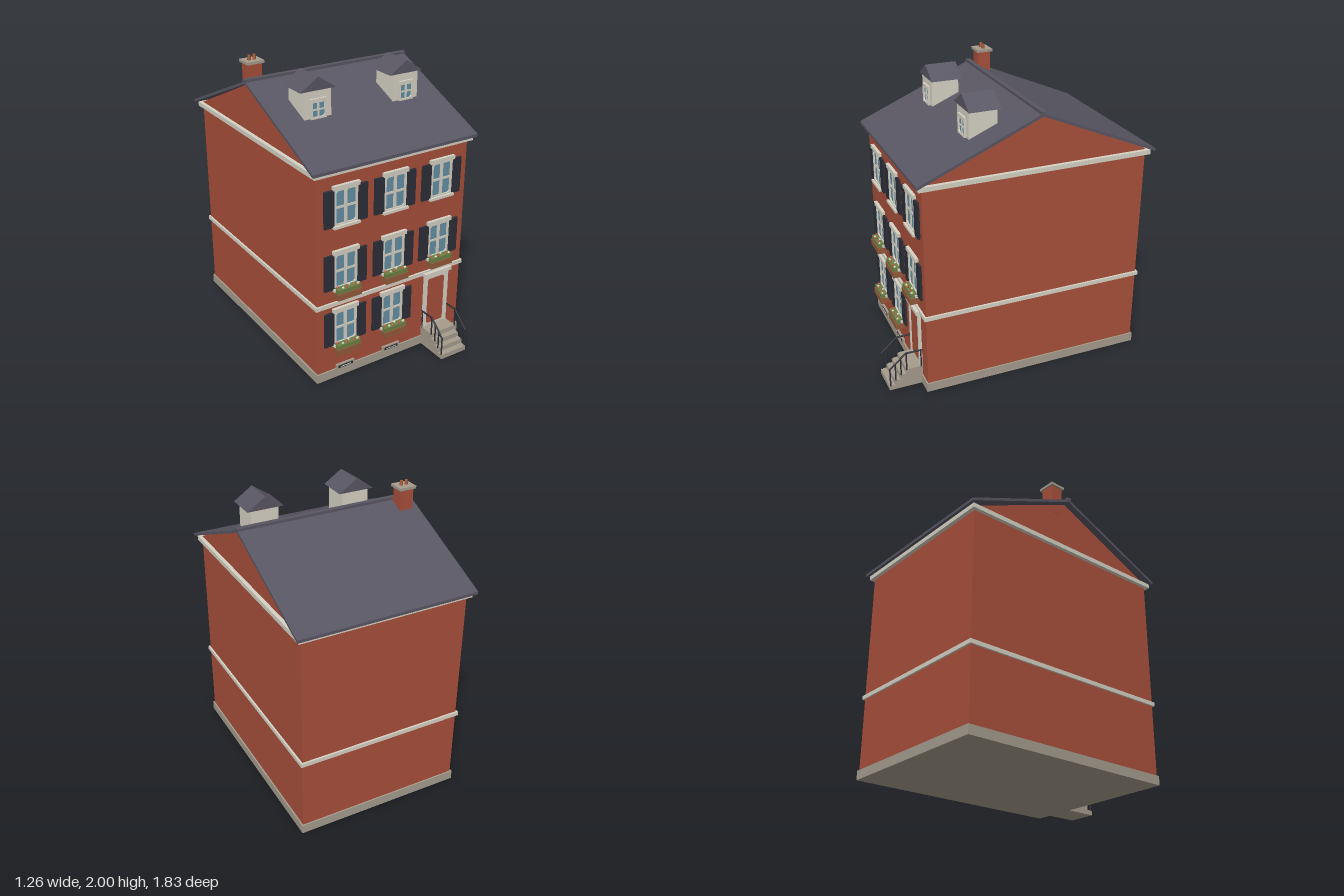
import * as THREE from 'three';

const mat = (name, color) => {
  const m = new THREE.MeshStandardMaterial({ color });
  m.name = name;
  return m;
};

export function createModel() {
  const brick = mat('brick', 0xa84f3a);
  const trim = mat('trim', 0xd6d2c4);
  const stone = mat('stone', 0xa59c8d);
  const slate = mat('slate', 0x595663);
  const shutterPaint = mat('shutter paint', 0x2d2e38);
  const glass = mat('glass', 0x6590a5);
  const leaves = mat('leaves', 0x6c8044);
  const wood = mat('wood', 0x935a3a);
  const petals = mat('petals', 0xc0503f);
  const clay = mat('clay', 0xa85a3c);

  const house = new THREE.Group();
  house.name = 'townhouse';
  const add = (name, geo, material, parent = house) => {
    const m = new THREE.Mesh(geo, material);
    m.name = name;
    parent.add(m);
    return m;
  };
  // box given by its limits on each axis
  const box = (name, [x0, x1], [y0, y1], [z0, z1], material, parent) => {
    const m = add(name, new THREE.BoxGeometry(x1 - x0, y1 - y0, z1 - z0), material, parent);
    m.position.set((x0 + x1) / 2, (y0 + y1) / 2, (z0 + z1) / 2);
    return m;
  };
  const shapeOf = pts => new THREE.Shape(pts.map(p => new THREE.Vector2(...p)));
  const extrude = (shape, depth) => new THREE.ExtrudeGeometry(shape, { depth, bevelEnabled: false });
  // profile of [z, y] points extended sideways along x
  const sideways = (name, pts, x0, x1, material, parent) => {
    const geo = extrude(shapeOf(pts), x1 - x0).rotateY(-Math.PI / 2).translate(x1, 0, 0);
    return add(name, geo, material, parent);
  };
  const group = (name, x = 0, y = 0, z = 0) => {
    const g = new THREE.Group();
    g.name = name;
    g.position.set(x, y, z);
    house.add(g);
    return g;
  };
  const rect = (w, y0, y1, c = 0) => shapeOf([
    [-w + c, y0], [w - c, y0], [w, y0 + c], [w, y1 - c], [w - c, y1], [-w + c, y1], [-w, y1 - c], [-w, y0 + c],
  ].filter((p, i) => c > 0 || i % 2 === 0));

  const WALL = 0.68, BACK = -0.865, RIDGE = -0.095;

  // walls with gables, plinth and bands
  sideways('walls', [[WALL, 0.002], [WALL, 1.495], [RIDGE, 1.84], [BACK, 1.495], [BACK, 0.002]], -0.578, 0.578, brick);
  const band = (name, y0, y1, out, m) =>
    box(name, [-0.578 - out, 0.578 + out], [y0, y1], [BACK - out, WALL + out], m);
  band('plinth', 0, 0.063, 0.01, stone);
  band('beltCourse', 0.55, 0.578, 0.013, trim);
  band('cornice', 1.462, 1.493, 0.026, trim);

  // roof and ridge cap
  sideways('roof', [
    [RIDGE + 0.82, 1.488], [RIDGE + 0.82, 1.508], [RIDGE, 1.858], [RIDGE - 0.82, 1.508],
    [RIDGE - 0.82, 1.488], [RIDGE, 1.838],
  ], -0.625, 0.625, slate);
  box('ridgeCap', [-0.63, 0.63], [1.842, 1.87], [RIDGE - 0.016, RIDGE + 0.016], slate);

  // chimney
  box('chimney', [-0.58, -0.483], [1.74, 1.95], [-0.21, -0.122], brick);
  box('chimneyCap', [-0.593, -0.47], [1.95, 1.968], [-0.222, -0.11], stone);
  for (const x of [-0.55, -0.513])
    add('chimneyPot', new THREE.CylinderGeometry(0.01, 0.012, 0.034, 12), clay).position.set(x, 1.983, -0.166);

  // flat frame with a hole
  const frame = (g, w, y0, y1, t, depth) => {
    const s = rect(w, y0, y1);
    s.holes.push(rect(w - t, y0 + t, y1 - t, 0.012));
    add('frame', extrude(s, depth), trim, g);
  };
  const glazing = (g, w, y0, y1, bar, z) => {
    const mid = (y0 + y1) / 2;
    box('glass', [-w, w], [y0, y1], [0, z], glass, g);
    box('uprightBar', [-bar, bar], [y0, y1], [0, z + 0.006], trim, g);
    box('crossBar', [-w, w], [mid - bar * 0.7, mid + bar * 0.7], [0, z + 0.005], trim, g);
  };

  // dormers
  for (const x of [-0.336, 0.336]) {
    const g = group('dormer', x, 0, 0.317);
    box('dormerWalls', [-0.098, 0.098], [1.66, 1.87], [-0.19, 0], trim, g);
    const roof = add('dormerRoof', extrude(shapeOf([[-0.13, 1.863], [0.13, 1.863], [0, 1.95]]), 0.217), slate, g);
    roof.position.z = -0.208;
    const w = group('dormerWindow', x, 0, 0.317);
    frame(w, 0.057, 1.68, 1.812, 0.013, 0.014);
    box('windowHead', [-0.045, 0.045], [1.785, 1.8], [0, 0.012], trim, w);
    glazing(w, 0.044, 1.69, 1.788, 0.007, 0.004);
  }

  // windows with shutters; the two lower rows carry flower boxes
  const flowerBox = g => {
    box('flowerBox', [-0.09, 0.09], [-0.183, -0.14], [0, 0.064], wood, g);
    box('foliage', [-0.085, 0.085], [-0.14, -0.11], [0.012, 0.058], leaves, g);
    for (let i = 0; i < 6; i++) {
      const x = -0.07 + i * 0.028;
      const f = add('flower', new THREE.IcosahedronGeometry(0.009, 0), i % 2 ? trim : petals, g);
      f.position.set(x, -0.106, i % 3 ? 0.045 : 0.025);
    }
  };
  [1.237, 0.797, 0.381].forEach((y, row) => {
    for (const x of row < 2 ? [-0.37, 0, 0.37] : [-0.37, 0]) {
      const g = group('window', x, y, WALL);
      frame(g, 0.085, -0.122, 0.125, 0.014, 0.014);
      glazing(g, 0.072, -0.11, 0.112, 0.011, 0.004);
      box('lintel', [-0.097, 0.097], [0.122, 0.15], [0, 0.022], trim, g);
      box('sill', [-0.097, 0.097], [-0.134, -0.116], [0, 0.03], trim, g);
      for (const s of [-1, 1]) {
        const c = s * 0.122;
        box('shutter', [c - 0.036, c + 0.036], [-0.124, 0.124], [0, 0.015], shutterPaint, g);
      }
      if (row > 0) flowerBox(g);
    }
  });

  // door with surround and hood
  const door = group('door', 0.37, 0, WALL);
  box('doorSurround', [-0.1, 0.1], [0.135, 0.545], [0, 0.01], trim, door);
  for (const s of [-1, 1])
    box('doorPost', [s * 0.09 - 0.01, s * 0.09 + 0.01], [0.135, 0.545], [0, 0.02], trim, door);
  add('doorLeaf', extrude(rect(0.068, 0.155, 0.505, 0.01), 0.006), brick, door).position.z = 0.009;
  box('doorHood', [-0.113, 0.113], [0.54, 0.566], [0, 0.036], trim, door);

  // front steps
  sideways('steps', [
    [0.66, 0], [0.917, 0], [0.917, 0.034], [0.876, 0.034], [0.876, 0.068], [0.836, 0.068],
    [0.836, 0.102], [0.795, 0.102], [0.795, 0.136], [0.66, 0.136],
  ], 0.266, 0.475, stone);

  // handrails
  const bar = (name, a, b, r, g) => {
    const p = new THREE.Vector3(...a), d = new THREE.Vector3(...b).sub(p);
    const m = add(name, new THREE.CylinderGeometry(r, r, d.length(), 8), shutterPaint, g);
    m.position.copy(p).addScaledVector(d, 0.5);
    m.quaternion.setFromUnitVectors(new THREE.Vector3(0, 1, 0), d.normalize());
  };
  for (const x of [0.269, 0.472]) {
    const g = group('handrail', x);
    bar('levelRail', [0, 0.262, WALL], [0, 0.262, 0.797], 0.006, g);
    bar('slopingRail', [0, 0.262, 0.795], [0, 0.162, 0.908], 0.006, g);
    for (const [z, y0, y1] of [[0.69, 0.13, 0.262], [0.792, 0.13, 0.262], [0.832, 0.1, 0.23], [0.87, 0.066, 0.196], [0.908, 0.03, 0.164]])
      bar('railPost', [0, y0, z], [0, y1, z], 0.005, g);
  }

  // cellar vents
  for (const x of [-0.37, 0]) {
    const g = group('cellarVent', x, 0, WALL);
    box('ventSurround', [-0.07, 0.07], [0.03, 0.092], [0, 0.015], stone, g);
    box('ventOpening', [-0.055, 0.055], [0.066, 0.084], [0, 0.018], shutterPaint, g);
    box('ventSlat', [-0.04, 0.04], [0.072, 0.077], [0, 0.02], trim, g);
  }

  return house;
}
